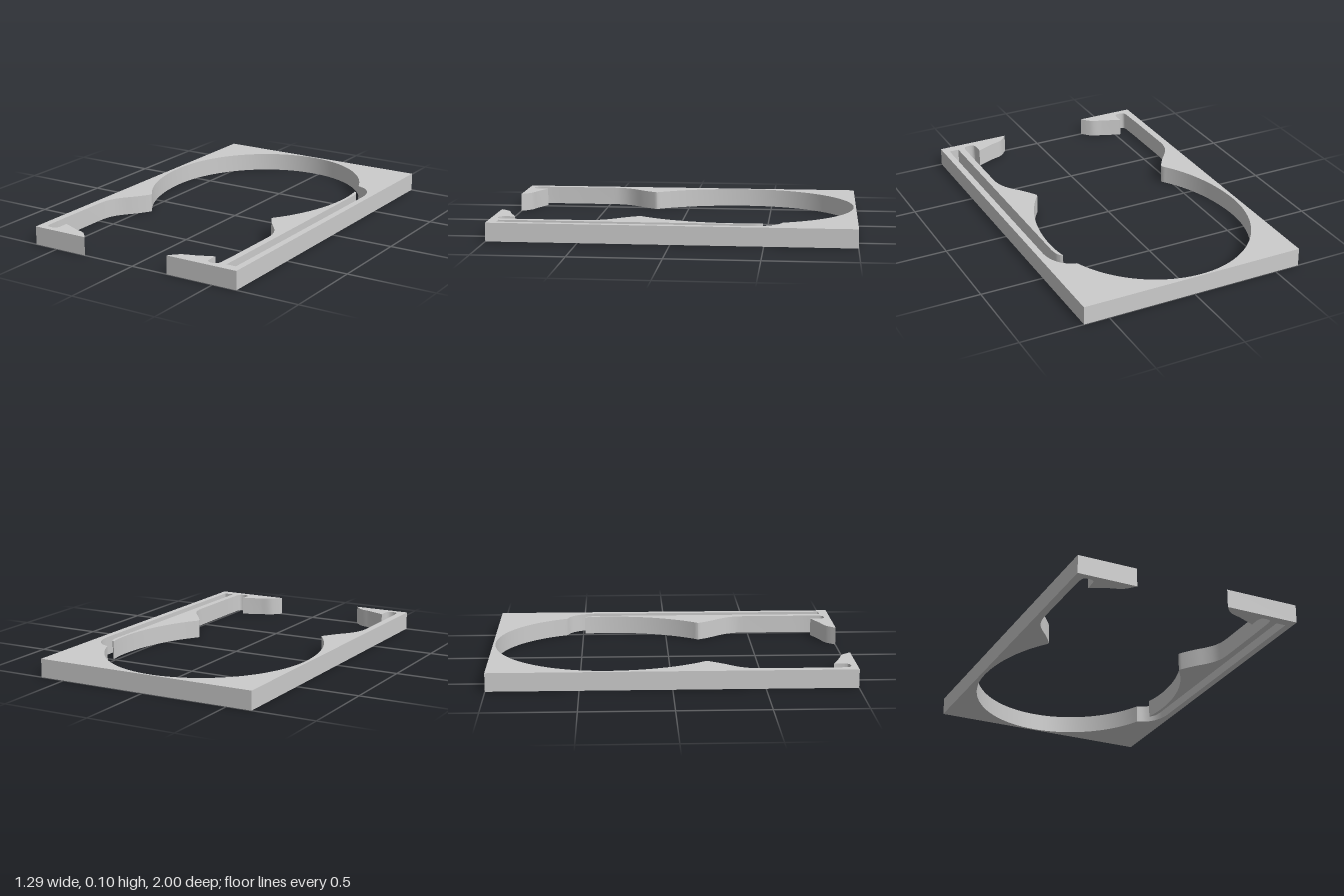
import * as THREE from 'three';
import { toCreasedNormals } from 'three/addons/utils/BufferGeometryUtils.js';

const HEIGHT = 0.103, HALF_WIDTH = 0.643, AXIS = -0.045; // the opening sits slightly off centre

// Smooth run of points through a few [x, z] pairs
const curve = (pairs, n = 16) =>
  new THREE.CatmullRomCurve3(pairs.map(([x, z]) => new THREE.Vector3(x, 0, z)), false, 'centripetal')
    .getPoints(n).map(p => [p.x, p.z]);

// Egg-shaped opening: angle 0 is the back, PI the front
const egg = (from, to, n) => Array.from({ length: n + 1 }, (_, i) => {
  const a = from + (to - from) * i / n, c = Math.cos(a);
  return [0.577 * Math.sin(a), -0.35 - c * (c > 0 ? 0.637 : 0.76)];
});

// Inner edge of one arm from the hook tip up to the neck, as offsets from the axis
const armEdge = () => [
  ...curve([[0.265, 1], [0.29, 0.97], [0.32, 0.943], [0.38, 0.923]], 10),
  [0.484, 0.878],
  ...curve([[0.484, 0.935], [0.492, 0.957], [0.519, 0.966], [0.547, 0.957], [0.555, 0.93]], 14),
  [0.557, 0.8],
  ...curve([[0.557, 0.48], [0.553, 0.435], [0.538, 0.385], [0.51, 0.338], [0.465, 0.283],
    [0.425, 0.226], [0.408, 0.194], [0.41, 0.184]], 24),
];

export function createModel() {
  const group = new THREE.Group();
  const right = ([d, z]) => [AXIS + d, z];
  const left = ([d, z]) => [AXIS - d, z];
  const neck = Math.PI - Math.acos(0.52 / 0.76);
  const fingerTop = Math.acos(0.14 / 0.637);
  const slotTop = Math.acos(0.25 / 0.637);

  const outline = [
    // outer rectangle
    [-HALF_WIDTH, 1], [-HALF_WIDTH, -1], [HALF_WIDTH, -1], [HALF_WIDTH, 1],
    // hook, notch and neck on the sprung side
    ...armEdge().map(right),
    // inner edge of the spring finger
    ...egg(neck, fingerTop, 24).map(right),
    // finger tip and the slot behind it
    ...curve([[0.53, -0.482], [0.543, -0.458], [0.55, -0.415]], 8),
    [0.55, 0.946], [0.606, 0.946],
    ...curve([[0.606, -0.43], [0.598, -0.48], [0.573, -0.537], [0.535, -0.575], [0.487, -0.597]], 16),
    // round the back of the opening
    ...egg(slotTop, 0, 24).map(right),
    ...egg(0, neck, 52).slice(1).map(left),
    // solid arm
    ...armEdge().reverse().map(left),
  ];

  const shape = new THREE.Shape(outline.map(([x, z]) => new THREE.Vector2(x, -z)));
  const geometry = new THREE.ExtrudeGeometry(shape, { depth: HEIGHT, bevelEnabled: false });
  geometry.rotateX(-Math.PI / 2);

  const frame = new THREE.Mesh(
    toCreasedNormals(geometry, 0.5),
    new THREE.MeshStandardMaterial({ color: 0xcccccc }));
  frame.name = 'clipFrame';
  group.add(frame);
  return group;
}
